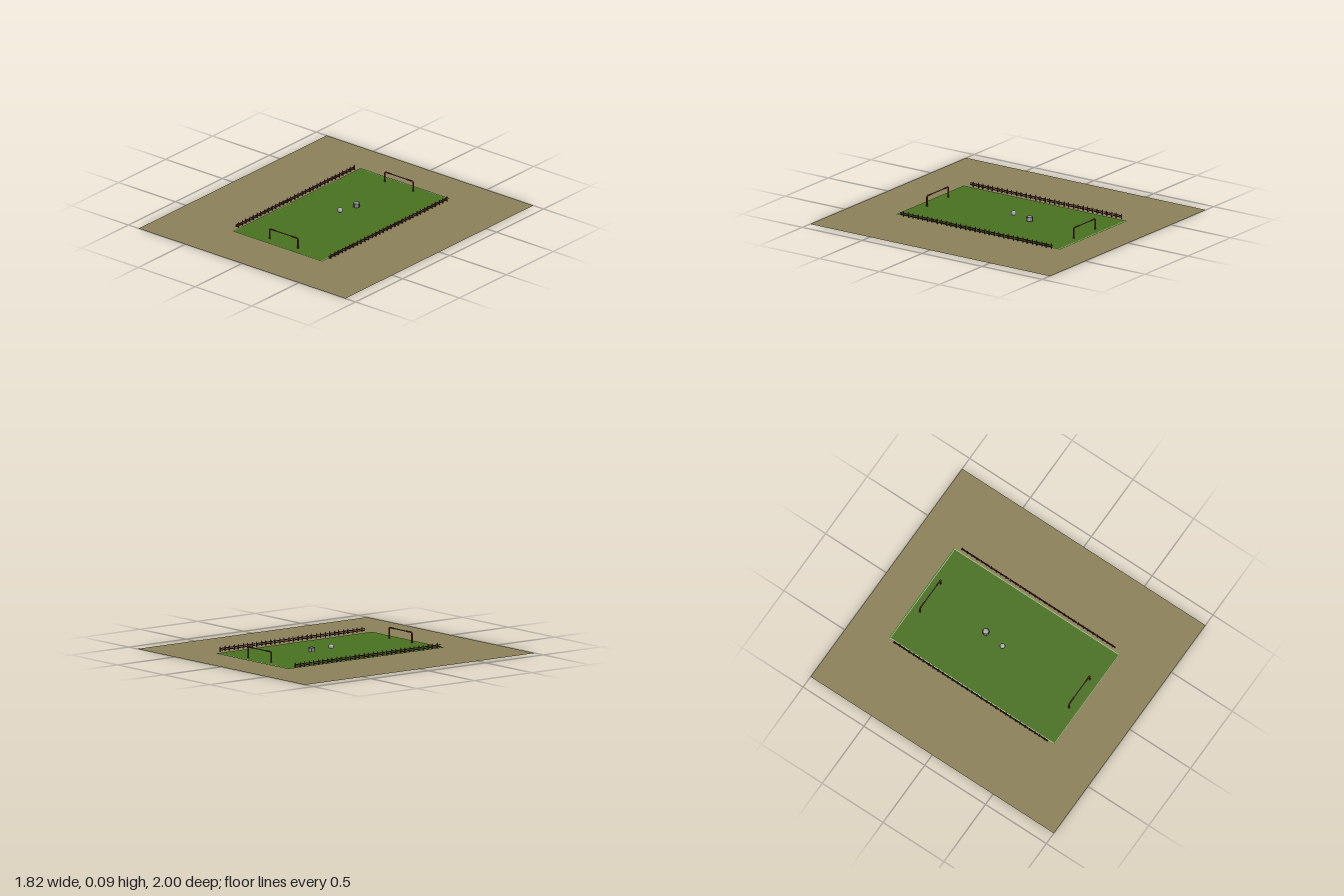
import * as THREE from 'three';

export function createModel() {
  const root = new THREE.Group();
  const mat = (name, color, extra = {}) => {
    const m = new THREE.MeshStandardMaterial({ color, ...extra });
    m.name = name;
    return m;
  };
  const earth = mat('dry earth', 0x8a7f58, { side: THREE.DoubleSide });
  const grass = mat('grass', 0x487020, { side: THREE.DoubleSide });
  const chalk = mat('pale line', 0x9fb48a, { side: THREE.DoubleSide });
  const wood = mat('dark wood', 0x4a2218);
  const copper = mat('goal wood', 0x663022);
  const bar = mat('goal bar', 0x735a50);
  const steel = mat('grey', 0xa8a6ae);
  const dark = mat('dark grey', 0x65636c);

  const add = (parent, name, geo, m, x, y, z) => {
    const mesh = new THREE.Mesh(geo, m);
    mesh.name = name;
    mesh.position.set(x, y, z);
    parent.add(mesh);
    return mesh;
  };
  const flat = (name, w, d, m, x, y, z) =>
    add(root, name, new THREE.PlaneGeometry(w, d).rotateX(-Math.PI / 2), m, x, y, z);

  // Ground, pitch and boundary lines
  flat('ground', 1.82, 2, earth, 0, 0, 0);
  flat('pitch', 0.785, 1.36, grass, 0.0125, 0.006, -0.04);
  for (const x of [-0.376, 0.401]) flat('sideLine', 0.006, 1.35, chalk, x, 0.0075, -0.04);
  flat('backLine', 0.77, 0.005, chalk, 0.0125, 0.0075, -0.711);
  flat('frontLine', 0.77, 0.003, chalk, 0.0125, 0.0075, 0.638);

  // Fences: short rail sections between pointed posts
  const postGeo = new THREE.CylinderGeometry(0.0045, 0.005, 0.03, 6);
  const tipGeo = new THREE.ConeGeometry(0.0045, 0.009, 6);
  const railGeo = new THREE.BoxGeometry(0.005, 0.006, 0.074);
  for (const [name, x] of [['rightFence', -0.39], ['leftFence', 0.425]]) {
    const fence = new THREE.Group();
    fence.name = name;
    root.add(fence);
    for (let i = 0; i < 16; i++) {
      const z = -0.635 + i * 0.0794;
      for (const dz of [-0.032, 0.012]) {
        add(fence, 'post', postGeo, wood, x, 0.025, z + dz);
        add(fence, 'postTip', tipGeo, wood, x, 0.0445, z + dz);
      }
      for (const y of [0.021, 0.032]) add(fence, 'rail', railGeo, wood, x, y, z);
    }
  }

  // Goals: round posts bending into a bar with a thinner middle
  class Bend extends THREE.CurvePath {}
  for (const [name, z] of [['frontGoal', 0.575], ['backGoal', -0.65]]) {
    const goal = new THREE.Group();
    goal.name = name;
    goal.position.set(0.017, 0, z);
    root.add(goal);
    for (const s of [-1, 1]) {
      const v = (x, y) => new THREE.Vector3(s * x, y, 0);
      const path = new Bend();
      path.add(new THREE.LineCurve3(v(0.124, 0), v(0.124, 0.068)));
      path.add(new THREE.QuadraticBezierCurve3(v(0.124, 0.068), v(0.124, 0.08), v(0.112, 0.08)));
      path.add(new THREE.LineCurve3(v(0.112, 0.08), v(0.065, 0.08)));
      add(goal, 'post', new THREE.TubeGeometry(path, 32, 0.0055, 8), copper, 0, 0, 0);
    }
    add(goal, 'crossbar', new THREE.CylinderGeometry(0.004, 0.004, 0.136, 8).rotateZ(Math.PI / 2), bar, 0, 0.08, 0);
  }

  // Ball resting near the centre
  add(root, 'ball', new THREE.SphereGeometry(0.018, 20, 14), steel, -0.002, 0.036, -0.045);

  // Round drum with dark studs around its side
  const drum = new THREE.Group();
  drum.name = 'drum';
  drum.position.set(0.02, 0, -0.195);
  root.add(drum);
  add(drum, 'drumBody', new THREE.CylinderGeometry(0.021, 0.021, 0.028, 16), steel, 0, 0.029, 0);
  add(drum, 'drumRim', new THREE.TorusGeometry(0.0195, 0.003, 6, 20).rotateX(Math.PI / 2), dark, 0, 0.042, 0);
  for (let i = 0; i < 8; i++) {
    const a = (i * Math.PI) / 4;
    add(drum, 'stud', new THREE.BoxGeometry(0.005, 0.026, 0.005), dark,
      Math.cos(a) * 0.021, 0.029, Math.sin(a) * 0.021).rotation.y = -a;
  }
  return root;
}
